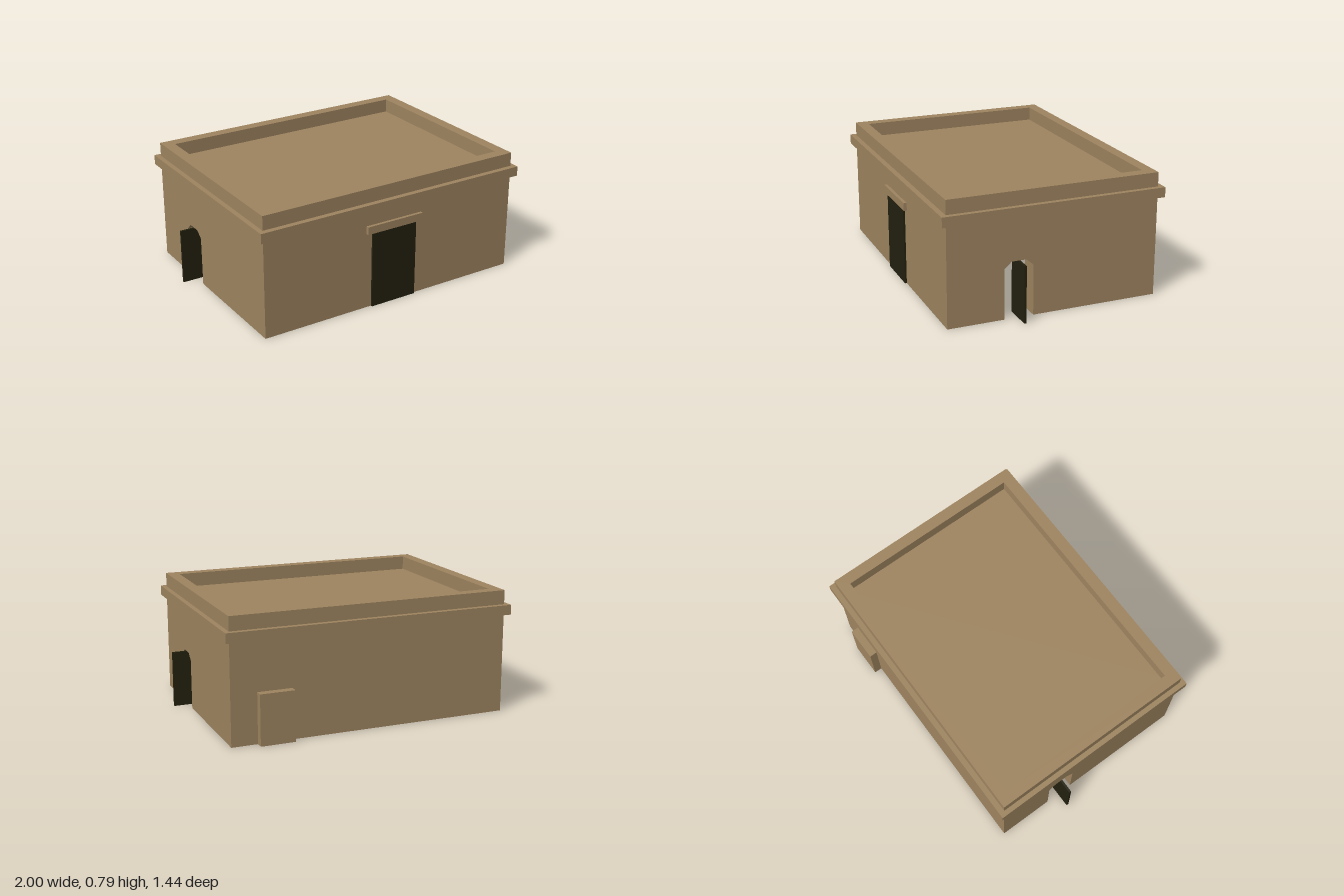
import * as THREE from 'three';

export function createModel() {
  const sandstone = new THREE.MeshStandardMaterial({ color: 0x9f8560 });
  sandstone.name = 'sandstone';
  const darkWood = new THREE.MeshStandardMaterial({ color: 0x23210f });
  darkWood.name = 'dark wood';

  const W = 0.905, D = 0.678;      // half width and half depth of the walls
  const T = 0.123;                 // wall thickness
  const WALL_H = 0.637, SLAB_TOP = 0.7, TOP = 0.79;

  const model = new THREE.Group();
  model.name = 'flatRoofedHouse';
  const house = new THREE.Group();
  house.name = 'house';
  house.position.z = 0.0075;
  model.add(house);

  const add = (parent, name, geometry, material) => {
    const mesh = new THREE.Mesh(geometry, material);
    mesh.name = name;
    parent.add(mesh);
    return mesh;
  };
  // Box given by its lower and upper limits
  const box = (parent, name, [x0, x1], [y0, y1], [z0, z1], material = sandstone) => {
    const g = new THREE.BoxGeometry(x1 - x0, y1 - y0, z1 - z0);
    g.translate((x0 + x1) / 2, (y0 + y1) / 2, (z0 + z1) / 2);
    return add(parent, name, g, material);
  };
  // Wall outline with a doorway notched into its foot
  const wallGeometry = (half, doorway) => {
    const outline = [[-half, 0], ...doorway, [half, 0], [half, WALL_H], [-half, WALL_H]];
    const shape = new THREE.Shape(outline.map(([x, y]) => new THREE.Vector2(x, y)));
    return new THREE.ExtrudeGeometry(shape, { depth: T, bevelEnabled: false });
  };

  // Front wall with square doorway, door and lintel
  const front = wallGeometry(W, [[-0.16, 0], [-0.16, 0.5], [0.16, 0.5], [0.16, 0]]);
  front.translate(0, 0, D - T);
  add(house, 'frontWall', front, sandstone);
  box(house, 'frontDoor', [-0.16, 0.16], [0, 0.5], [D, D + 0.012], darkWood);
  box(house, 'lintel', [-0.2, 0.2], [0.5, 0.55], [D - 0.02, D + 0.02]);

  // Back wall with a block set through it
  box(house, 'backWall', [-W, W], [0, WALL_H], [-D, -D + T]);
  box(house, 'backBlock', [0.52, 0.74], [0, 0.32], [-0.7275, -0.5]);

  // Side walls: chamfered doorway with the door standing open across it
  const c = -0.228, h = 0.093, k = 0.047;
  const arch = [[c - h, 0], [c - h, 0.32], [c - k, 0.36], [c + k, 0.36], [c + h, 0.32], [c + h, 0]];
  ['left', 'right'].forEach((side, i) => {
    const group = new THREE.Group();
    group.name = side + 'Side';
    group.rotation.y = i * Math.PI;
    const wall = wallGeometry(D - T, arch);
    wall.rotateY(Math.PI / 2);
    wall.translate(W - T, 0, 0);
    add(group, side + 'Wall', wall, sandstone);
    box(group, side + 'Door', [0.812, 1], [0, 0.36], [0.221, 0.235], darkWood);
    house.add(group);
  });

  // Overhanging roof slab
  box(house, 'roofSlab', [-0.936, 0.936], [WALL_H, SLAB_TOP], [-0.712, 0.712]);

  // Parapet ring around the roof
  const rect = (Type, x, y) => new Type([[-x, -y], [x, -y], [x, y], [-x, y]]
    .map(([a, b]) => new THREE.Vector2(a, b)));
  const ring = rect(THREE.Shape, W, D);
  ring.holes.push(rect(THREE.Path, 0.832, 0.606));
  const parapet = new THREE.ExtrudeGeometry(ring, { depth: TOP - SLAB_TOP, bevelEnabled: false });
  parapet.rotateX(-Math.PI / 2);
  parapet.translate(0, SLAB_TOP, 0);
  add(house, 'parapet', parapet, sandstone);

  return model;
}
